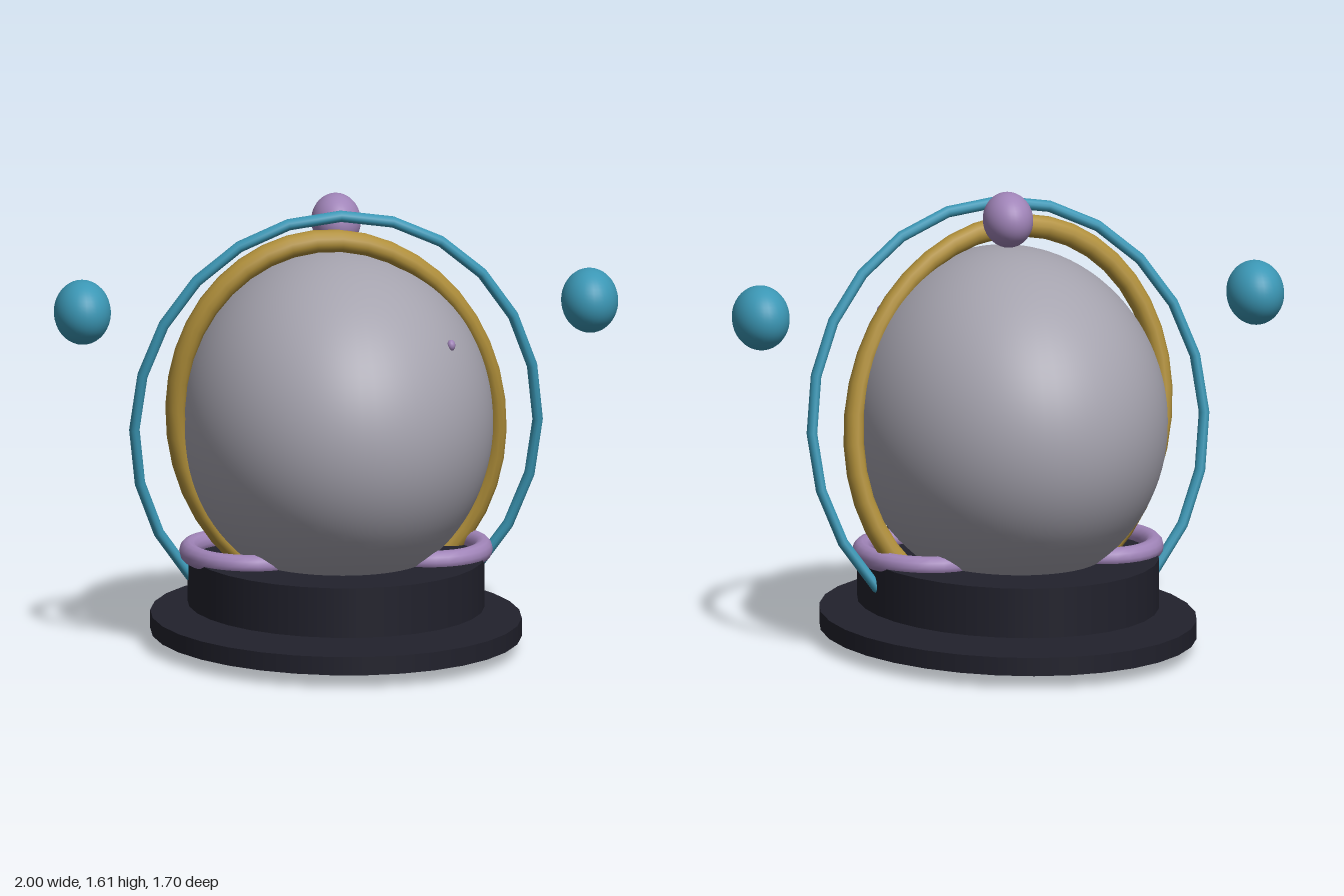
import * as THREE from 'three';

const mat = (name, color) => {
  const m = new THREE.MeshStandardMaterial({ color });
  m.name = name;
  return m;
};

export function createModel() {
  const group = new THREE.Group();
  const grey = mat('grey', 0xa5a3ae);
  const dark = mat('charcoal', 0x21212c);
  const teal = mat('teal', 0x3b97b5);
  const gold = mat('gold', 0xb08f3a);
  const lilac = mat('lilac', 0xa084b8);

  const add = (name, geometry, material) => {
    const mesh = new THREE.Mesh(geometry, material);
    mesh.name = name;
    group.add(mesh);
    return mesh;
  };

  const ellipsoid = (name, material, pos, radii, seg = 32) => {
    const g = new THREE.SphereGeometry(1, seg, Math.round(seg * 0.75));
    g.scale(...radii);
    add(name, g, material).position.set(...pos);
  };

  // oval plate between two heights
  const plate = (name, rx, rz, y0, y1) => {
    const g = new THREE.CylinderGeometry(1, 1, y1 - y0, 32);
    g.scale(rx, 1, rz);
    add(name, g, dark).position.y = (y0 + y1) / 2;
  };

  // unit ring mapped onto the half-axes u, v and the thickness direction n
  const ring = (name, material, pos, u, v, n, tube, seg) => {
    const g = new THREE.TorusGeometry(1, tube, 12, seg);
    g.applyMatrix4(new THREE.Matrix4().makeBasis(
      new THREE.Vector3(...u), new THREE.Vector3(...v), new THREE.Vector3(...n)));
    add(name, g, material).position.set(...pos);
  };

  // Stand
  plate('lowerBase', 0.65, 0.85, 0.047, 0.112);
  plate('upperBase', 0.52, 0.68, 0.15, 0.327);

  // Body with its top knob and a small stud
  ellipsoid('body', grey, [0, 0.81, 0], [0.55, 0.604, 0.72], 64);
  ellipsoid('topKnob', lilac, [0, 1.518, 0], [0.087, 0.098, 0.113]);
  ellipsoid('stud', lilac, [0.357, 1.135, 0.393], [0.015, 0.02, 0.019], 12);

  // Tilted rings around the body
  ring('innerRing', gold, [0, 0.815, 0],
    [0.58, -0.06, -0.07], [0, 0.653, 0.12], [0.08, -0.13, 0.7], 0.06, 40);
  ring('outerRing', teal, [0, 0.79, 0],
    [0.717, 0, -0.012], [0, 0.768, 0.133], [0.01, -0.12, 0.92], 0.026, 24);

  // Mirrored side balls and the flat rings under the body
  for (const [side, s] of [['left', 1], ['right', -1]]) {
    ellipsoid(side + 'Ball', teal, [0.9 * s, 1.212, 0], [0.1, 0.114, 0.129]);
    ring(side + 'FootRing', lilac, [0.315 * s, 0.342, 0],
      [0.205, 0, 0], [0, 0, -0.27], [0, 0.23, 0], 0.162, 32);
  }
  return group;
}
